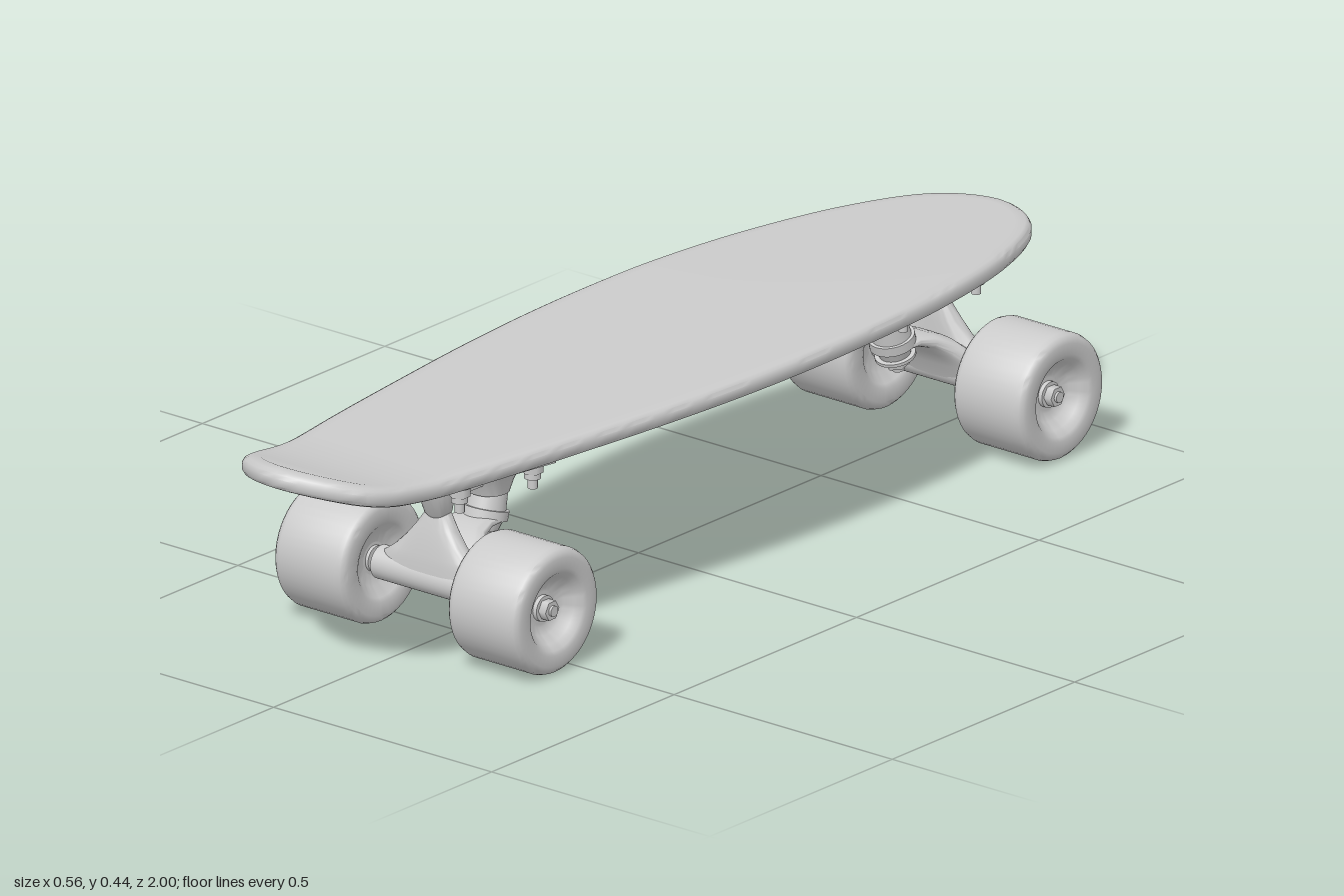
import * as THREE from 'three';
import { toCreasedNormals } from 'three/addons/utils/BufferGeometryUtils.js';

const material = new THREE.MeshStandardMaterial({ color: 0xcccccc });

function add(parent, name, geometry, x = 0, y = 0, z = 0) {
  const mesh = new THREE.Mesh(geometry, material);
  mesh.name = name;
  mesh.position.set(x, y, z);
  parent.add(mesh);
  return mesh;
}

function build(positions, index, crease) {
  const g = new THREE.BufferGeometry();
  g.setAttribute('position', new THREE.Float32BufferAttribute(positions, 3));
  g.setIndex(index);
  return toCreasedNormals(g, crease);
}

// Deck: rounded edge rings around a plan outline, bent along its length
function deckGeometry() {
  const half = [[0.075, -0.975], [0.13, -0.92], [0.19, -0.78], [0.236, -0.57], [0.257, -0.38],
    [0.264, -0.2], [0.26, 0], [0.245, 0.2], [0.222, 0.4], [0.196, 0.6], [0.168, 0.78],
    [0.158, 0.87], [0.135, 0.925], [0.08, 0.972]];
  const mirrored = half.map(([x, z]) => [-x, z]).reverse();
  const points = [[0, -1], ...half, [0, 1], ...mirrored].map(([x, z]) => new THREE.Vector3(x, 0, z));
  const curve = new THREE.CatmullRomCurve3(points, true);
  const n = 90, count = 2 * n;
  const outline = curve.getSpacedPoints(count).slice(0, count);
  const bend = (z) => (z > 0.72 ? 0.53 * (z - 0.72) ** 1.86 : 0)
    - (z < -0.3 ? 0.014 * ((-0.3 - z) / 0.7) ** 1.2 : 0);
  const rings = [[0.03, 0], [0.012, 0.001], [0.004, 0.005], [0, 0.012], [0, 0.025],
    [0.004, 0.032], [0.011, 0.036], [0.03, 0.037]];
  const pos = [], index = [];
  for (const [inset, h] of rings) {
    outline.forEach((p, i) => {
      const t = outline[(i + 1) % count].clone().sub(outline[(i + count - 1) % count]).normalize();
      pos.push(p.x - t.z * inset, 0.357 + h + bend(p.z), p.z + t.x * inset);
    });
  }
  for (let k = 0; k < rings.length - 1; k++) {
    for (let i = 0; i < count; i++) {
      const j = (i + 1) % count;
      const a = k * count + i, b = k * count + j, c = a + count, d = b + count;
      index.push(a, c, b, b, c, d);
    }
  }
  const top = (rings.length - 1) * count;
  for (let i = 0; i < n; i++) {
    const r0 = i, r1 = i + 1, l0 = (count - i) % count, l1 = count - i - 1;
    if (i > 0) index.push(top + r0, top + l0, top + r1, r0, r1, l0);
    if (i < n - 1) index.push(top + l0, top + l1, top + r1, l0, r1, l1);
  }
  return build(pos, index, 0.6);
}

// Loft of superellipse sections [y, z, halfWidth, halfThickness] along a path in the yz plane
function loft(sections, power = 0.7, sides = 32) {
  const pos = [], index = [], last = sections.length - 1;
  const shape = (v) => Math.sign(v) * Math.abs(v) ** power;
  sections.forEach(([y, z, w, t], k) => {
    const p = sections[Math.max(k - 1, 0)], q = sections[Math.min(k + 1, last)];
    const a = Math.atan2(q[1] - p[1], p[0] - q[0]);
    for (let i = 0; i < sides; i++) {
      const f = (i / sides) * Math.PI * 2, s = t * shape(Math.sin(f));
      pos.push(w * shape(Math.cos(f)), y + s * Math.sin(a), z + s * Math.cos(a));
    }
  });
  for (let k = 0; k < last; k++) {
    for (let i = 0; i < sides; i++) {
      const j = (i + 1) % sides;
      const a = k * sides + i, b = k * sides + j;
      index.push(a, b, a + sides, b, b + sides, a + sides);
    }
  }
  for (let i = 1; i < sides - 1; i++) {
    const e = last * sides;
    index.push(0, i + 1, i, e, e + i, e + i + 1);
  }
  return build(pos, index, 0.8);
}

const cylinder = (r, h, sides = 32, r2 = r) => new THREE.CylinderGeometry(r, r2, h, sides);

function lathe(points) {
  const g = new THREE.LatheGeometry(points.map(([r, h]) => new THREE.Vector2(r, h)), 48);
  return toCreasedNormals(g, 0.6);
}

// Wheel with dished faces, bearing and axle nut, pointing outward along +x
function createWheel() {
  const wheel = new THREE.Group();
  wheel.name = 'wheel';
  const tread = lathe([[0.03, 0.142], [0.05, 0.138], [0.068, 0.122], [0.076, 0.118], [0.1, 0.118],
    [0.108, 0.12], [0.114, 0.126], [0.117, 0.135], [0.117, 0.263], [0.114, 0.272], [0.108, 0.278],
    [0.1, 0.28], [0.08, 0.28], [0.072, 0.277], [0.062, 0.265], [0.05, 0.25], [0.036, 0.243], [0.03, 0.243]]);
  add(wheel, 'tyre', tread).rotation.z = -Math.PI / 2;
  const parts = [['bearing', cylinder(0.04, 0.1), 0.192], ['bearingCollar', cylinder(0.024, 0.115), 0.193],
    ['axleNut', cylinder(0.019, 0.02, 6), 0.257], ['axleEnd', cylinder(0.01, 0.16), 0.192]];
  for (const [name, g, x] of parts) add(wheel, name, g, x).rotation.z = -Math.PI / 2;
  return wheel;
}

// Truck: the axle sits toward +z of the mounting plate
function createTruck(name, z, turn) {
  const truck = new THREE.Group();
  truck.name = name;
  truck.position.z = z;
  truck.rotation.y = turn;

  // Riser and wedge-shaped base plate
  add(truck, 'riserPad', new THREE.BoxGeometry(0.19, 0.036, 0.27), 0, 0.343, 0);
  const plate = new THREE.BoxGeometry(0.19, 0.03, 0.262);
  const p = plate.attributes.position;
  for (let i = 0; i < p.count; i++) {
    if (p.getY(i) < 0) p.setY(i, p.getZ(i) > 0 ? 0.006 : -0.018);
  }
  plate.computeVertexNormals();
  add(truck, 'basePlate', plate, 0, 0.31, 0);

  // Pivot cup and kingpin housing
  add(truck, 'pivotHousing', loft([[0.325, 0.088, 0.034, 0.045], [0.28, 0.083, 0.032, 0.032],
    [0.24, 0.078, 0.024, 0.022], [0.228, 0.077, 0.014, 0.014]], 0.8));
  add(truck, 'kingpinHousing', loft([[0.32, -0.055, 0.075, 0.075], [0.29, -0.056, 0.055, 0.06],
    [0.262, -0.056, 0.043, 0.045], [0.24, -0.055, 0.038, 0.036]], 0.8));
  add(truck, 'housingBridge', new THREE.BoxGeometry(0.05, 0.05, 0.13), 0, 0.29, 0.015);

  // Mounting bolts
  for (const x of [-0.067, 0.067]) {
    for (const bz of [-0.1, 0.1]) {
      const drop = bz < 0 ? -0.013 : 0;
      add(truck, 'boltWasher', cylinder(0.021, 0.006, 24), x, 0.31 + drop, bz);
      add(truck, 'boltNut', cylinder(0.019, 0.018, 6), x, 0.299 + drop, bz);
      add(truck, 'boltLockNut', cylinder(0.015, 0.012, 24), x, 0.285 + drop, bz);
      add(truck, 'boltEnd', cylinder(0.009, 0.05, 16), x, 0.285 + drop, bz);
    }
  }

  // Kingpin stack
  const kingpin = new THREE.Group();
  kingpin.name = 'kingpin';
  kingpin.position.set(0, 0.2, -0.05);
  kingpin.rotation.x = -0.28;
  truck.add(kingpin);
  const stack = [['upperBushing', cylinder(0.033, 0.04, 32, 0.036), 0.028], ['hangerRing', cylinder(0.042, 0.018), 0],
    ['lowerBushing', cylinder(0.034, 0.022, 32, 0.028), -0.019], ['cupWasher', cylinder(0.037, 0.006), -0.032],
    ['kingpinNut', cylinder(0.022, 0.018, 6), -0.043], ['kingpinBolt', cylinder(0.011, 0.12), -0.003]];
  for (const [part, g, y] of stack) add(kingpin, part, g, 0, y, 0);

  // Hanger: axle tube, pivot arm and yoke
  add(truck, 'axleTube', cylinder(0.031, 0.25), 0, 0.116, 0.085).rotation.z = Math.PI / 2;
  add(truck, 'pivotArm', loft([[0.11, 0.087, 0.115, 0.026], [0.145, 0.086, 0.112, 0.026],
    [0.16, 0.085, 0.09, 0.025], [0.185, 0.083, 0.064, 0.023], [0.21, 0.08, 0.043, 0.02],
    [0.235, 0.077, 0.026, 0.016], [0.252, 0.076, 0.016, 0.012]]));
  add(truck, 'yoke', loft([[0.115, 0.08, 0.112, 0.026], [0.148, 0.062, 0.1, 0.024],
    [0.172, 0.04, 0.075, 0.02], [0.188, 0.012, 0.052, 0.014], [0.195, -0.02, 0.042, 0.01],
    [0.194, -0.048, 0.04, 0.008]]));

  // Wheels
  for (const side of [0, Math.PI]) {
    const wheel = createWheel();
    wheel.position.set(0, 0.118, 0.085);
    wheel.rotation.y = side;
    truck.add(wheel);
  }
  return truck;
}

export function createModel() {
  const model = new THREE.Group();
  model.name = 'skateboard';
  add(model, 'deck', deckGeometry());
  model.add(createTruck('frontTruck', 0.47, 0));
  model.add(createTruck('rearTruck', -0.745, Math.PI));
  return model;
}
